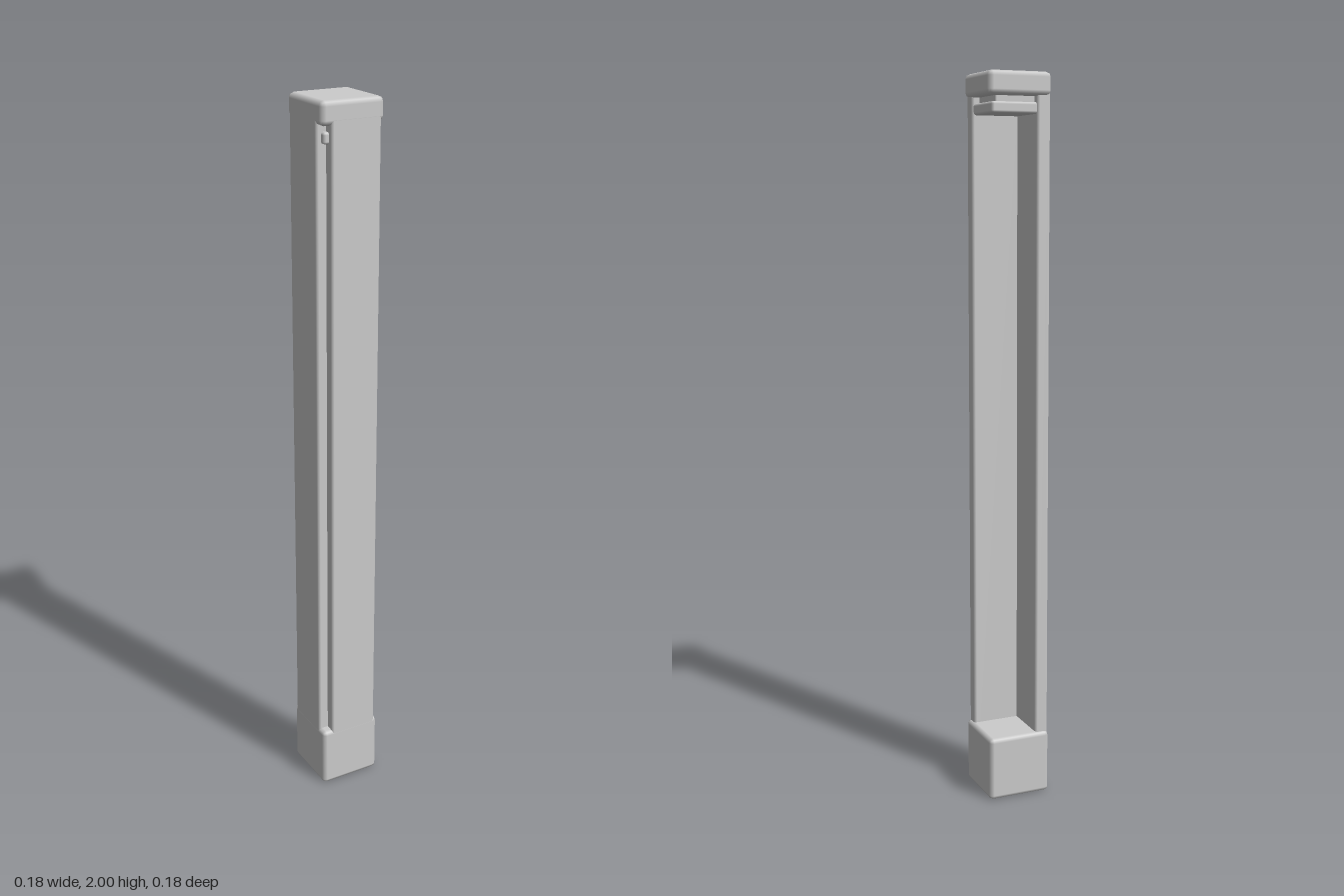
import * as THREE from 'three';
import { RoundedBoxGeometry } from 'three/addons/geometries/RoundedBoxGeometry.js';

const grey = new THREE.MeshStandardMaterial({ color: 0xcccccc });
grey.name = 'light grey';

// Chamfered block given by its lowest and highest corners
function block(name, [x0, y0, z0], [x1, y1, z1], bevel) {
  const geometry = new RoundedBoxGeometry(x1 - x0, y1 - y0, z1 - z0, 1, bevel);
  const mesh = new THREE.Mesh(geometry, grey);
  mesh.name = name;
  mesh.position.set((x0 + x1) / 2, (y0 + y1) / 2, (z0 + z1) / 2);
  return mesh;
}

export function createModel() {
  const post = new THREE.Group();
  post.name = 'cornerPost';

  // Square foot and cap
  post.add(block('base', [-0.09, 0, -0.09], [0.09, 0.18, 0.09], 0.012));
  post.add(block('cap', [-0.09, 1.938, -0.09], [0.09, 2, 0.09], 0.014));

  // Collar hanging under the cap on a narrower neck
  post.add(block('neck', [-0.06, 1.9, -0.06], [0.06, 1.95, 0.06], 0.004));
  post.add(block('collar', [-0.076, 1.892, -0.076], [0.076, 1.922, 0.076], 0.007));

  // Two upright boards forming an L, open to the back left, with a notched outer corner
  post.add(block('frontBoard', [-0.061, 0.03, 0.051], [0.081, 1.96, 0.0895], 0.007));
  post.add(block('sideBoard', [-0.0895, 0.03, -0.081], [-0.051, 1.96, 0.061], 0.007));

  return post;
}
